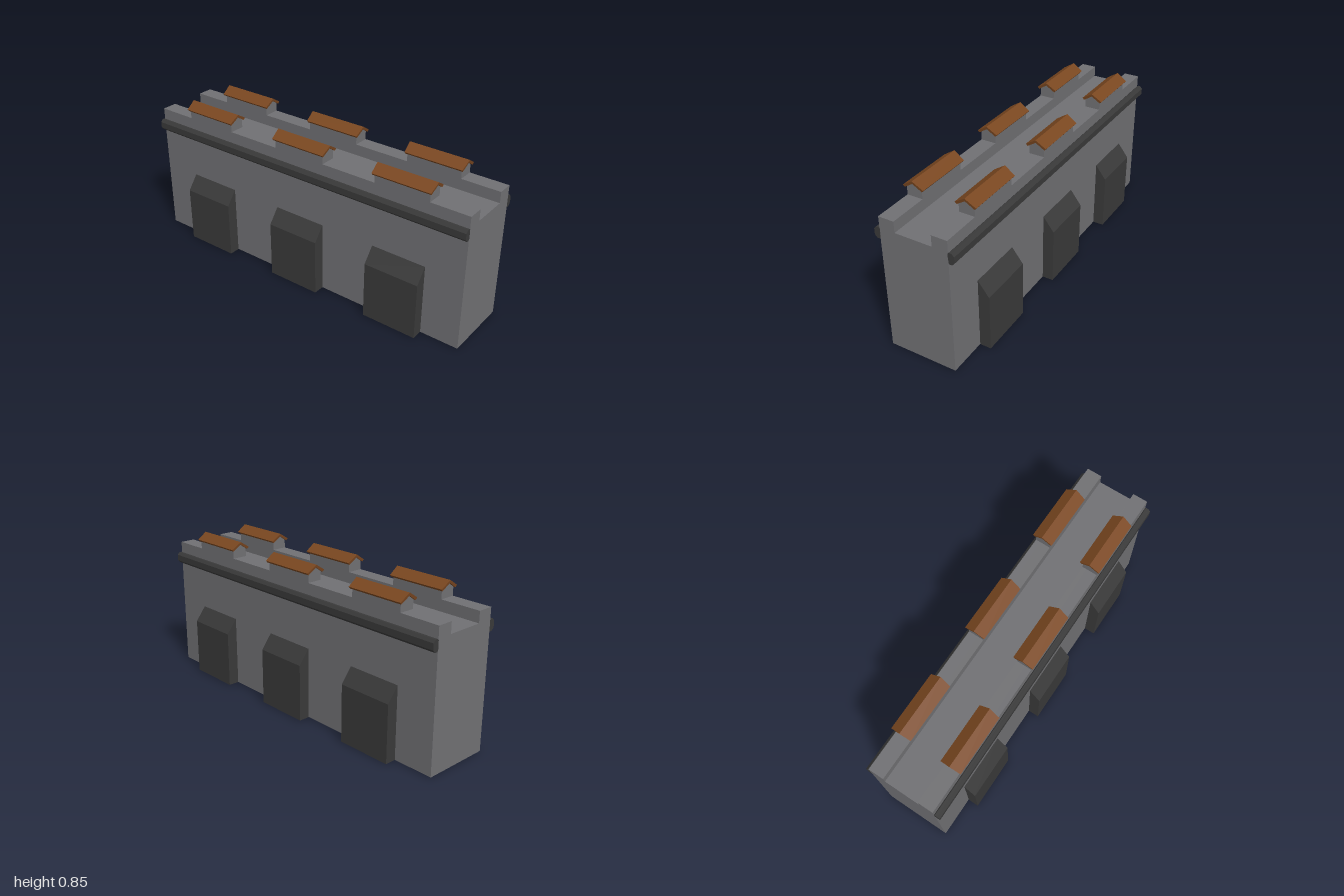
import * as THREE from 'three';

const material = (name, color) => {
  const m = new THREE.MeshStandardMaterial({ color });
  m.name = name;
  return m;
};

// Extrude a [z, y] profile along x, centred on x = 0
function prism(profile, length) {
  const shape = new THREE.Shape(profile.map(([z, y]) => new THREE.Vector2(-z, y)));
  const geo = new THREE.ExtrudeGeometry(shape, { depth: length, bevelEnabled: false });
  geo.translate(0, 0, -length / 2);
  geo.rotateY(Math.PI / 2);
  return geo;
}

export function createModel() {
  const group = new THREE.Group();
  group.name = 'castleWall';
  const stone = material('grey stone', 0x707073);
  const darkStone = material('dark stone', 0x393939);
  const paleStone = material('pale stone', 0xb0b0b0);
  const tile = material('brown tile', 0x7a4720);

  const add = (name, geo, mat, x = 0) => {
    const mesh = new THREE.Mesh(geo, mat);
    mesh.name = name;
    mesh.position.x = x;
    group.add(mesh);
  };

  const outer = 0.188, inner = 0.102, mid = (outer + inner) / 2;
  const walk = 0.695, parapet = 0.756, eave = 0.802, base = 0.001;

  // Wall with a sunken walkway between two parapets
  add('wall', prism([
    [-outer, base], [outer, base], [outer, parapet], [inner, parapet], [inner, walk],
    [-inner, walk], [-inner, parapet], [-outer, parapet],
  ], 2), stone);

  // Pale underside, facing down
  add('underside', new THREE.PlaneGeometry(2, outer * 2).rotateX(Math.PI / 2), paleStone);

  for (const side of [1, -1]) {
    const mirrored = (points) => points.map(([z, y]) => [z * side, y]);

    // Chamfered moulding along the wall
    add('moulding', prism(mirrored([
      [0.186, 0.640], [0.193, 0.633], [0.207, 0.633], [0.22, 0.647],
      [0.22, 0.681], [0.207, 0.695], [0.193, 0.695], [0.186, 0.689],
    ]), 2), darkStone);

    for (const x of [-0.62, 0.005, 0.631]) {
      // Sloped buttress at the foot
      add('buttress', prism(mirrored([
        [outer, 0], [0.25, 0], [0.25, 0.317], [outer, 0.397],
      ]), 0.31), darkStone, x);

      // Gabled merlon with a blunt peak
      add('merlon', prism(mirrored([
        [inner, parapet - 0.01], [outer, parapet - 0.01], [outer, eave],
        [mid + 0.008, 0.829], [mid - 0.008, 0.829], [inner, eave],
      ]), 0.31), stone, x);

      // Roof cap, slightly longer at the ridge than at the eaves
      const roof = prism(mirrored([
        [mid, 0.847], [mid - 0.058, 0.810], [mid - 0.049, 0.799],
        [mid, 0.832], [mid + 0.049, 0.799], [mid + 0.058, 0.810],
      ]), 0.326);
      const p = roof.attributes.position;
      for (let i = 0; i < p.count; i++) {
        p.setX(i, p.getX(i) * (1 + (p.getY(i) - 0.799) * 0.9));
      }
      roof.computeVertexNormals();
      add('merlonRoof', roof, tile, x);
    }
  }
  return group;
}
